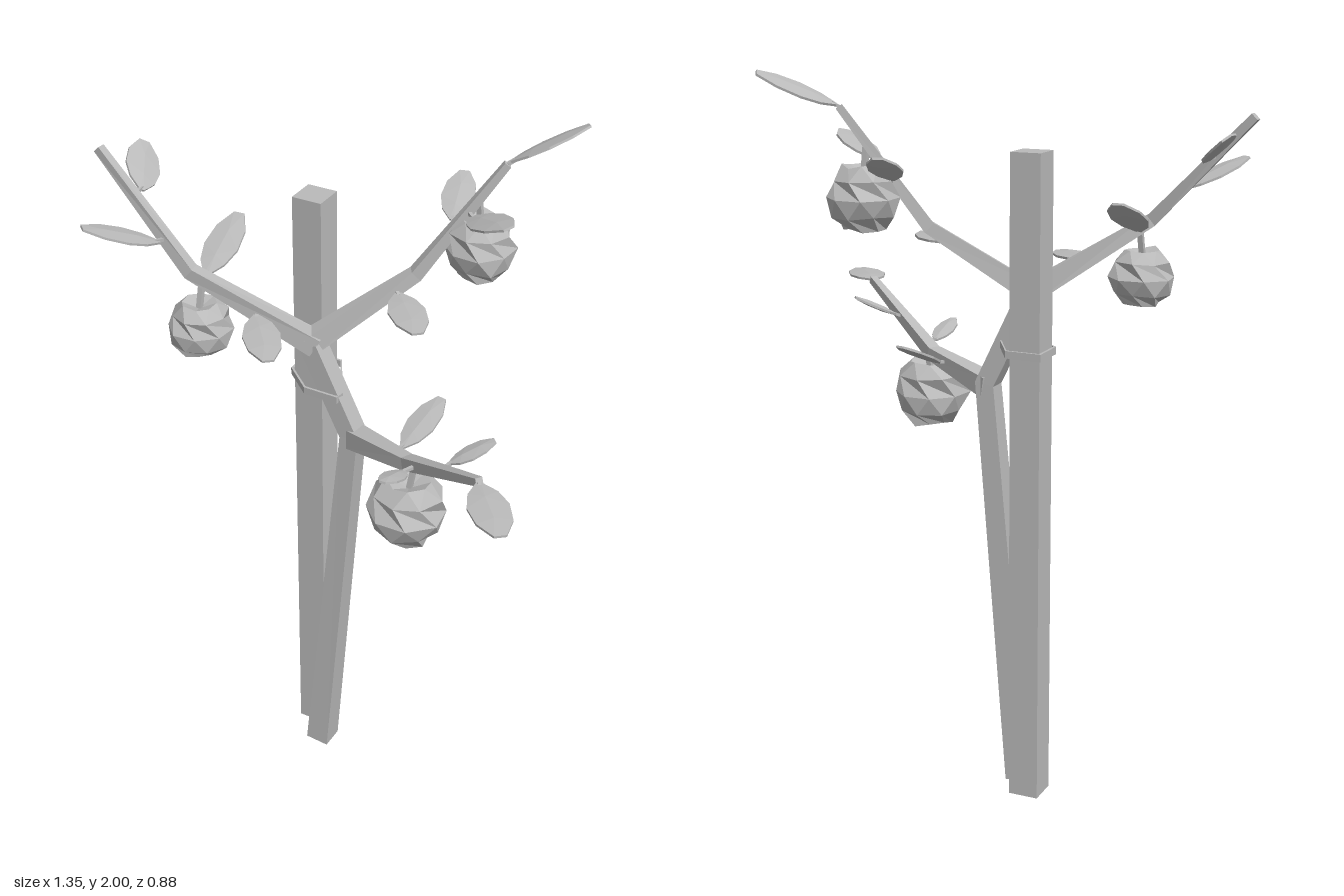
import * as THREE from 'three';
import { ConvexGeometry } from 'three/addons/geometries/ConvexGeometry.js';

const V = (p) => new THREE.Vector3(...p);

// Faceted normals
function facet(geo) {
  const g = geo.index ? geo.toNonIndexed() : geo;
  g.computeVertexNormals();
  return g;
}

// Square-sectioned limb; each point is [x, y, z, thickness]
function limbGeometry(path, ref) {
  const pts = path.map(([x, y, z]) => V([x, y, z]));
  const pos = [], index = [], n = pts.length;
  pts.forEach((p, i) => {
    const t = new THREE.Vector3();
    if (i > 0) t.add(p.clone().sub(pts[i - 1]).normalize());
    if (i < n - 1) t.add(pts[i + 1].clone().sub(p).normalize());
    t.normalize();
    const u = t.clone().cross(ref).normalize();
    const v = t.clone().cross(u);
    const h = path[i][3] / 2;
    for (const [a, b] of [[1, 1], [-1, 1], [-1, -1], [1, -1]]) {
      const q = p.clone().addScaledVector(u, a * h).addScaledVector(v, b * h);
      pos.push(q.x, q.y, q.z);
    }
    if (i === n - 1) return;
    for (let j = 0; j < 4; j++) {
      const a = i * 4 + j, b = i * 4 + (j + 1) % 4;
      index.push(a, b, a + 4, b, b + 4, a + 4);
    }
  });
  const e = (n - 1) * 4;
  index.push(0, 2, 1, 0, 3, 2, e, e + 1, e + 2, e, e + 2, e + 3);
  const g = new THREE.BufferGeometry();
  g.setAttribute('position', new THREE.Float32BufferAttribute(pos, 3));
  g.setIndex(index);
  return facet(g);
}

// Thin leaf blade with a slightly raised midrib
function leafGeometry(base, tip, width, up) {
  const d = tip.clone().sub(base);
  const side = d.clone().cross(up).normalize();
  const n = side.clone().cross(d).normalize();
  const at = (t, w, h) => base.clone().addScaledVector(d, t)
    .addScaledVector(side, w * width).addScaledVector(n, h);
  const pts = [];
  for (const [t, w] of [[0, 0.06], [0.2, 0.36], [0.45, 0.5], [0.75, 0.43], [1, 0.15]]) {
    for (const s of [-1, 1]) pts.push(at(t, s * w, 0.003), at(t, s * w, -0.003));
  }
  for (const t of [0.3, 0.7]) pts.push(at(t, 0, 0.008), at(t, 0, -0.008));
  return new ConvexGeometry(pts);
}

// Lumpy low-poly fruit, dimpled at both ends
function fruitGeometry(r, seed) {
  const g = new THREE.SphereGeometry(1, 8, 6);
  const p = g.attributes.position, v = new THREE.Vector3();
  for (let i = 0; i < p.count; i++) {
    v.fromBufferAttribute(p, i);
    const row = Math.round(Math.acos(THREE.MathUtils.clamp(v.y, -1, 1)) / (Math.PI / 6));
    if (row % 2) v.applyAxisAngle(THREE.Object3D.DEFAULT_UP, Math.PI / 8);
    v.multiplyScalar(1 + 0.06 * Math.sin(7 * v.x + 5 * v.z + 4 * v.y + seed));
    if (row === 0) v.y = 0.62;
    if (row === 6) v.y = -0.78;
    if (row === 1 || row === 5) { v.x *= 1.1; v.z *= 1.1; }
    p.setXYZ(i, v.x * r, v.y * r * 0.96, v.z * r);
  }
  return facet(g);
}

export function createModel() {
  const model = new THREE.Group();
  model.name = 'stakedFruitTree';
  const grey = new THREE.MeshStandardMaterial({ color: 0xbababa });
  grey.name = 'grey';
  const X = V([1, 0, 0]), Y = V([0, 1, 0]), Z = V([0, 0, 1]);
  const add = (name, geo, parent = model) => {
    const m = new THREE.Mesh(geo, grey);
    m.name = name;
    parent.add(m);
    return m;
  };

  // Support stake
  add('stake', new THREE.BoxGeometry(0.085, 1.79, 0.085)).position.set(-0.138, 0.905, -0.113);

  // Trunk and branches
  const paths = {
    trunk: [[-0.08, 0.004, -0.03, 0.07], [0.022, 1.16, -0.033, 0.055], [-0.1, 1.41, -0.03, 0.055]],
    lowerBranch: [[0.015, 1.15, -0.037, 0.058], [0.24, 1.2, 0.07, 0.036], [0.53, 1.355, 0.26, 0.02]],
    rightBranch: [[-0.11, 1.41, -0.025, 0.055], [0.12, 1.6, -0.19, 0.034], [0.315, 1.91, -0.3, 0.019]],
    leftBranch: [[-0.09, 1.41, -0.03, 0.055], [-0.39, 1.61, 0.1, 0.034], [-0.665, 1.89, 0.085, 0.022]],
  };
  for (const [name, path] of Object.entries(paths)) {
    add(name, limbGeometry(path, name === 'trunk' ? Z : Y));
  }
  // Nearest point on any branch, where stalks attach
  const nearest = (p) => {
    let best = null;
    for (const path of Object.values(paths)) {
      for (let i = 0; i < path.length - 1; i++) {
        const q = new THREE.Line3(V(path[i].slice(0, 3)), V(path[i + 1].slice(0, 3)))
          .closestPointToPoint(p, true, new THREE.Vector3());
        if (!best || q.distanceTo(p) < best.distanceTo(p)) best = q;
      }
    }
    return best;
  };
  const stalk = (name, a, b, w, parent) => {
    if (a.distanceTo(b) < 0.01) return;
    const ref = Math.abs(b.y - a.y) > 0.7 * a.distanceTo(b) ? X : Y;
    add(name, limbGeometry([[...a.toArray(), w], [...b.toArray(), w]], ref), parent);
  };

  // Tie looped around stake and trunk
  const loop = [[-0.192, -0.175], [-0.09, -0.172], [-0.005, -0.025], [-0.008, 0.004], [-0.11, 0.002], [-0.192, -0.07]]
    .map(([x, z]) => new THREE.Vector2(x, z));
  const centre = new THREE.Vector2(-0.1, -0.085);
  const tie = new THREE.Shape(loop);
  tie.holes.push(new THREE.Path(loop.map((p) => p.clone().lerp(centre, 0.08))));
  const tieGeo = new THREE.ExtrudeGeometry(tie, { depth: 0.02, bevelEnabled: false });
  tieGeo.rotateX(Math.PI / 2).translate(0, 1.286, 0);
  add('tie', tieGeo);

  // Fruits hanging on short stems: centre, radius
  const fruits = [
    [[0.262, 1.08, 0.1], 0.107],
    [[0.262, 1.68, -0.273], 0.097],
    [[-0.365, 1.457, 0.105], 0.088],
  ];
  fruits.forEach(([c, r], i) => {
    const g = new THREE.Group();
    g.name = 'fruit';
    model.add(g);
    add('fruitBody', fruitGeometry(r, i * 2), g).position.set(...c);
    const foot = V(c).addScaledVector(Y, r * 0.55);
    stalk('fruitStem', foot, nearest(V(c).addScaledVector(Y, r * 1.35)), 0.014, g);
  });

  // Leaves: base, tip, width, optional facing
  const leaves = [
    [[0.53, 1.353, 0.265], [0.665, 1.35, 0.43], 0.105],
    [[0.32, 1.915, -0.305], [0.475, 1.998, -0.43], 0.1, [-0.47, 0.88, 0]],
    [[0.25, 1.775, -0.235], [0.405, 1.832, -0.12], 0.1, [-0.33, 0.94, 0]],
    [[0.175, 1.73, -0.28], [0.14, 1.8, -0.425], 0.09],
    [[0.09, 1.555, -0.148], [0.23, 1.552, 0.01], 0.1],
    [[-0.225, 1.5, 0.05], [-0.085, 1.49, 0.22], 0.1],
    [[-0.46, 1.69, 0.13], [-0.59, 1.765, 0.28], 0.095],
    [[-0.56, 1.782, 0.055], [-0.64, 1.85, -0.08], 0.1, [0.63, 0.77, 0]],
    [[-0.37, 1.585, 0.06], [-0.38, 1.68, -0.13], 0.1],
    [[0.19, 1.19, 0.005], [0.225, 1.265, -0.16], 0.085],
    [[0.39, 1.285, 0.135], [0.48, 1.34, 0.06], 0.06],
    [[0.265, 1.22, 0.135], [0.265, 1.26, 0.258], 0.06],
  ];
  for (const [b, t, width, up] of leaves) {
    const g = new THREE.Group();
    g.name = 'leaf';
    model.add(g);
    add('leafBlade', leafGeometry(V(b), V(t), width, up ? V(up) : Y), g);
    stalk('leafStalk', nearest(V(b)), V(b).lerp(V(t), 0.06), 0.009, g);
  }
  return model;
}
